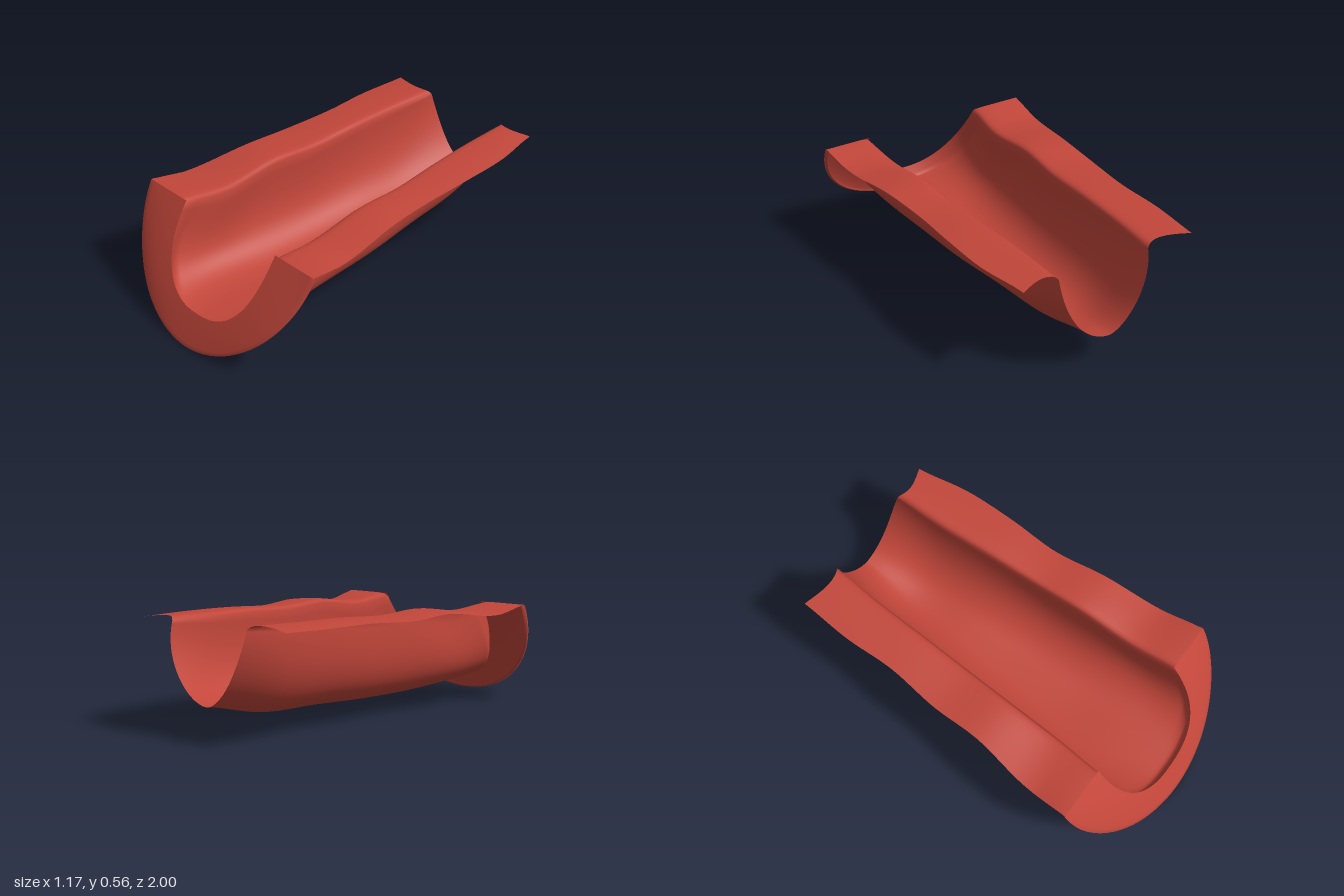
import * as THREE from 'three';

const { lerp } = THREE.MathUtils;

// Smooth lookup in evenly spaced key values, t from 0 (front) to 1 (back)
function keyed(values) {
  const curve = new THREE.SplineCurve(values.map((v, i) => new THREE.Vector2(i, v)));
  return (t) => curve.getPoint(t).y;
}

// Indexed sheet from a function of row and column
function sheet(rows, cols, at) {
  const pos = [], index = [];
  for (let i = 0; i <= rows; i++) {
    for (let j = 0; j <= cols; j++) {
      pos.push(...at(i, j));
      if (i < rows && j < cols) {
        const a = i * (cols + 1) + j, b = a + 1, c = a + cols + 1, d = c + 1;
        index.push(a, b, c, b, d, c);
      }
    }
  }
  const geo = new THREE.BufferGeometry();
  geo.setAttribute('position', new THREE.Float32BufferAttribute(pos, 3));
  geo.setIndex(index);
  geo.computeVertexNormals();
  return geo;
}

// Quarter superellipse from floor (0, 0) to wall top (1, 1)
function quarter(a, n) {
  return [Math.sin(a) ** (2 / n), 1 - Math.max(0, Math.cos(a)) ** (2 / n)];
}

// Half widths and squareness for the -x and +x sides, heights of ledge and floor
const sides = {
  '-1': {
    outer: keyed([0.582, 0.567, 0.523, 0.515, 0.485, 0.49, 0.47]),
    inner: keyed([0.31, 0.285, 0.28, 0.265, 0.255, 0.245, 0.225]),
    square: keyed([2.2, 2.9, 2.7, 2.6, 2.4, 2.1, 1.65]),
  },
  '1': {
    outer: keyed([0.582, 0.556, 0.53, 0.498, 0.506, 0.5, 0.455]),
    inner: keyed([0.33, 0.315, 0.305, 0.295, 0.28, 0.265, 0.265]),
    square: keyed([2.6, 2.9, 2.7, 2.6, 2.4, 2.2, 1.85]),
  },
};
const ledgeY = keyed([0.535, 0.515, 0.547, 0.537, 0.55, 0.555, 0.56]);
const floorY = keyed([0.098, 0.091, 0.075, 0.078, 0.092, 0.102, 0.17]);

// Sloping front end
const frontZ = (y) => 1 - 0.45 * y - 0.25 * y * y;

const WALL = 28, LEDGE = 10, ROWS = 64;

// Half cross-section point: k from 0 (floor centre) to WALL + LEDGE (ledge edge)
function sectionPoint(t, side, k) {
  const { outer, inner, square } = sides[side];
  const w = inner(t), top = ledgeY(t);
  const floor = floorY(t) + 0.06 * Math.max(0, 1 - t / 0.03);
  let x, y, backZ;
  if (k <= WALL) {
    const a = (k / WALL) * Math.PI / 2;
    const [u, v] = quarter(a, square(t));
    const bulge = 0.05 * Math.min(1, t * 20) * (1 - t);
    x = w * u + bulge * Math.sin(2 * a);
    y = lerp(floor, top - 0.02, v);
    backZ = -1 + 0.04 * v ** 3;
  } else {
    const f = (k - WALL) / LEDGE;
    x = lerp(w + 0.004, outer(t), f ** 1.4);
    y = top - 0.018 * (1 - f) ** 8 - 0.014 * f ** 3 * Math.min(1, t * 8);
    backZ = -0.96 + 0.03 * Math.sin(f * Math.PI) - 0.01 * f;
  }
  return [side * x, y, lerp(frontZ(y), backZ, t)];
}

export function createModel() {
  const group = new THREE.Group();
  group.name = 'trough';
  const clay = new THREE.MeshStandardMaterial({ color: 0xc2463a, side: THREE.DoubleSide });
  clay.name = 'terracotta red';
  const add = (name, geo) => {
    const mesh = new THREE.Mesh(geo, clay);
    mesh.name = name;
    group.add(mesh);
  };

  // Long channel with a flat ledge along each side
  const half = WALL + LEDGE;
  add('channelAndLedges', sheet(ROWS, half * 2, (i, j) => {
    const t = (i / ROWS) ** 1.5;
    return sectionPoint(t, j < half ? -1 : 1, Math.abs(j - half));
  }));

  // Sloping U-shaped collar at the front, curving back towards its turned edge
  const COLS = 64, BAND = 8, TURN = 3;
  add('frontCollar', sheet(BAND + TURN, COLS, (i, j) => {
    const s = j / COLS * 2 - 1, side = s < 0 ? -1 : 1;
    const f = Math.min(1, i / BAND);
    const turn = Math.max(0, i - BAND) / TURN;
    const { inner, square } = sides[side];
    const [u, v] = quarter(Math.abs(s) * Math.PI / 2, lerp(square(0), 1.93, f));
    const y = lerp(lerp(0.16, 0.003, f), ledgeY(0), v);
    const x = lerp(inner(0), 0.585, f) * u * (1 - 0.012 * turn * turn);
    const curl = 0.025 * f ** 3 * Math.sin(Math.PI * v);
    return [side * x, y + 0.012 * turn * turn * (1 - v), frontZ(y) - curl - 0.025 * turn];
  }));

  return group;
}
